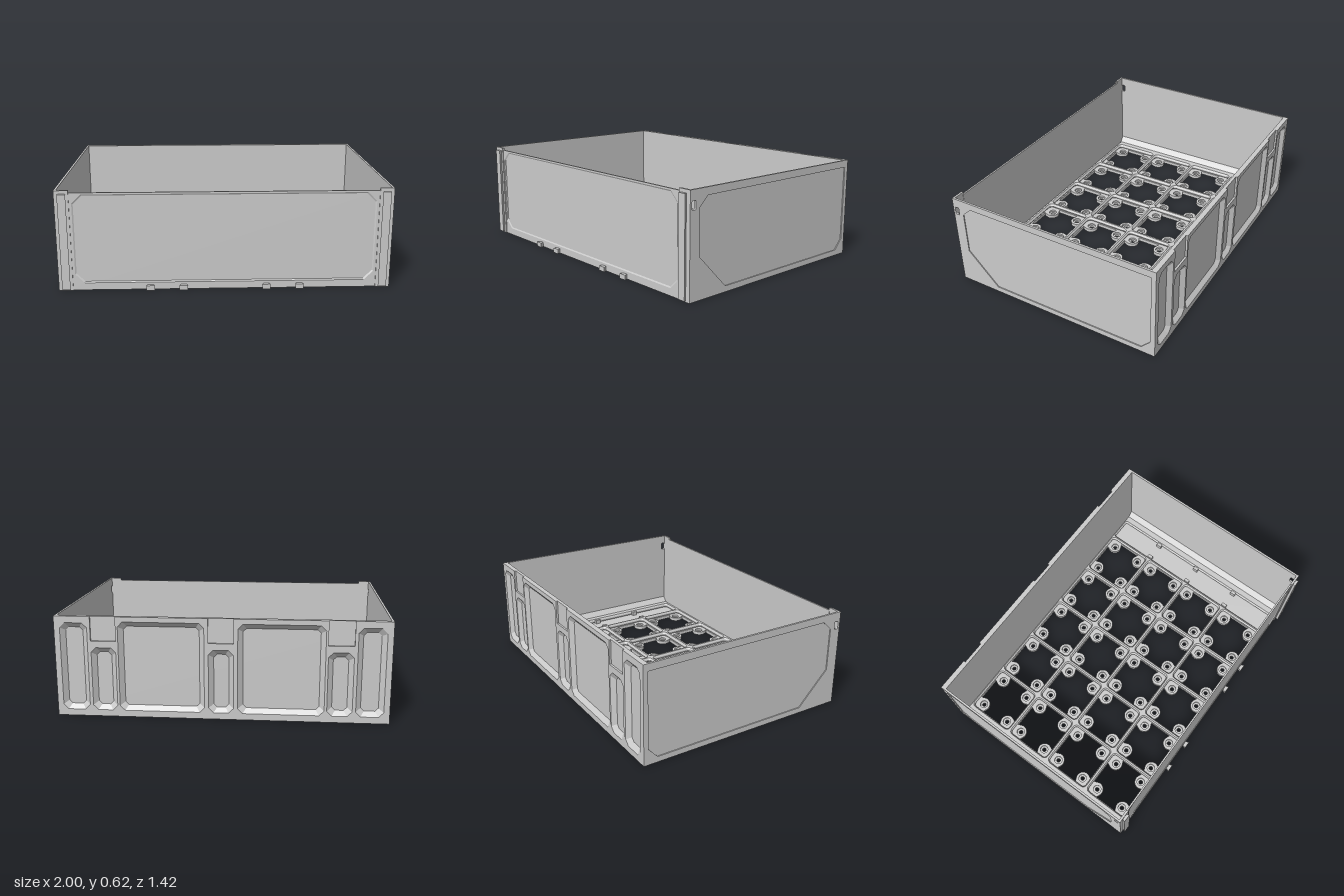
import * as THREE from 'three';

const mat = new THREE.MeshStandardMaterial({ color: 0xcccccc, flatShading: true, side: THREE.DoubleSide });
const V = (x, y) => new THREE.Vector2(x, y);

// rectangle with four individually cut corners (bl, br, tr, tl), counter-clockwise
function cutRect(x0, x1, y0, y1, bl, br = bl, tr = bl, tl = bl) {
  const p = [];
  const corner = (x, y, c, a, b) => {
    if (!c) p.push(V(x, y));
    else p.push(V(x + a[0] * c, y + a[1] * c), V(x + b[0] * c, y + b[1] * c));
  };
  corner(x0, y0, bl, [0, 1], [1, 0]);
  corner(x1, y0, br, [-1, 0], [0, 1]);
  corner(x1, y1, tr, [0, -1], [-1, 0]);
  corner(x0, y1, tl, [1, 0], [0, -1]);
  return p;
}

function roundRect(cx, cy, hx, hy, r) {
  const p = [];
  for (const [sx, sy, a0] of [[1, 1, 0], [-1, 1, 1], [-1, -1, 2], [1, -1, 3]])
    for (let i = 0; i <= 4; i++) {
      const a = (a0 + i / 4) * Math.PI / 2;
      p.push(V(cx + sx * (hx - r) + r * Math.cos(a), cy + sy * (hy - r) + r * Math.sin(a)));
    }
  return p;
}

function circle(cx, cy, r, n = 16) {
  return Array.from({ length: n }, (_, i) =>
    V(cx + r * Math.cos(i / n * 2 * Math.PI), cy + r * Math.sin(i / n * 2 * Math.PI)));
}

function slab(outline, holes, depth, extra = {}) {
  const shape = new THREE.Shape(outline);
  shape.holes = holes.map(h => new THREE.Path(h));
  return new THREE.ExtrudeGeometry(shape, { depth, bevelEnabled: false, ...extra });
}

// sloped band between two outlines of equal point count
function band(a, za, b, zb) {
  const pos = [];
  a.forEach((p, i) => {
    const j = (i + 1) % a.length;
    const A = [p.x, p.y, za], B = [a[j].x, a[j].y, za];
    const C = [b[j].x, b[j].y, zb], D = [b[i].x, b[i].y, zb];
    pos.push(...A, ...B, ...C, ...A, ...C, ...D);
  });
  const g = new THREE.BufferGeometry();
  g.setAttribute('position', new THREE.Float32BufferAttribute(pos, 3));
  g.computeVertexNormals();
  return g;
}

export function createModel() {
  const root = new THREE.Group();
  const add = (name, geo, x = 0, y = 0, z = 0) => {
    const m = new THREE.Mesh(geo, mat);
    m.name = name;
    m.position.set(x, y, z);
    root.add(m);
    return m;
  };
  const box = (name, x0, x1, y0, y1, z0, z1) =>
    add(name, new THREE.BoxGeometry(x1 - x0, y1 - y0, z1 - z0), (x0 + x1) / 2, (y0 + y1) / 2, (z0 + z1) / 2);
  // plan outlines use (x, -z); laying them flat extrudes upwards
  const flat = (name, geo, y) => { add(name, geo, 0, y, 0).rotation.x = -Math.PI / 2; };

  const H = 0.62, FRONT = 0.693, BACK = -0.71, IN = 0.987;

  // cell centres of the base grid
  const cells = [];
  for (let i = 0; i < 5; i++)
    for (let j = 0; j < 4; j++) cells.push([-0.754 + 0.335 * i, 0.512 - 0.336 * j]);

  // cross-shaped opening that leaves a round boss in each corner
  function crossHole(cx, cy) {
    const p = [];
    for (let k = 0; k < 4; k++) {
      const q = [[0.153, 0.078], [0.14, 0.072]];
      for (let i = 0; i <= 8; i++) {
        const a = (300 - 150 * i / 8) * Math.PI / 180;
        q.push([0.11 + 0.047 * Math.cos(a), 0.11 + 0.047 * Math.sin(a)]);
      }
      q.push([0.072, 0.14], [0.078, 0.153]);
      const c = [1, 0, -1, 0][k], s = [0, 1, 0, -1][k];
      q.forEach(([x, y]) => p.push(V(cx + x * c - y * s, cy + x * s + y * c)));
    }
    return p;
  }
  const crosses = cells.map(([x, y]) => crossHole(x, y));
  const bosses = r => cells.flatMap(([x, y]) =>
    [[1, 1], [1, -1], [-1, 1], [-1, -1]].map(([a, b]) => circle(x + a * 0.108, y + b * 0.105, r)));
  const floorOutline = cutRect(-0.99, 0.99, -0.685, 0.69, 0);

  // floor: screw-hole layer, then magnet-pocket layer, then the grid ribs
  flat('floorBottom', slab(floorOutline, [...crosses, ...bosses(0.013)], 0.012), 0);
  flat('floorMagnetLayer', slab(floorOutline, [...crosses, ...bosses(0.026)], 0.012), 0.012);
  flat('gridRibs', slab(cutRect(-0.975, 0.975, -0.67, 0.678, 0),
    [...cells.map(([x, y]) => roundRect(x, y, 0.162, 0.162, 0.03)), roundRect(0.835, 0.01, 0.08, 0.665, 0.02)],
    0.006, { bevelEnabled: true, bevelSize: 0.008, bevelThickness: 0.012, bevelSegments: 1 }), 0.036);

  // small tabs beside the long trough
  for (const z of [-0.345, -0.007, 0.33])
    for (const x of [0.775, 0.897]) box('troughTab', x - 0.011, x + 0.011, 0.02, 0.053, z - 0.018, z + 0.018);

  // side walls with a recessed panel and a slot near the front
  const sideOutline = cutRect(BACK, FRONT, 0, H, 0);
  const slot = roundRect(0.665, 0.535, 0.014, 0.026, 0.008);
  const sidePanel = [V(0.415, 0.035), V(0.62, 0.245), V(0.62, 0.52), V(0.56, 0.575),
    V(-0.68, 0.575), V(-0.68, 0.1), V(-0.62, 0.035)];
  for (const s of [1, -1]) {
    const wall = (name, holes, a, b) => {
      const m = add(name, slab(sideOutline, holes, b - a), Math.max(s * a, s * b), 0, 0);
      m.rotation.y = -Math.PI / 2;
    };
    wall('sideWallPlate', [slot], IN, 0.994);
    wall('sideWallFrame', [slot, sidePanel], 0.994, 1);
    // sloped foot along the inside of the wall
    add('sideWallFoot', slab([V(s * IN, 0.05), V(s * 0.95, 0.05), V(s * IN, 0.09)], [], 1.355), 0, 0, -0.68);
  }

  // front wall, corner posts and vertical dovetail rails
  const frontOutline = cutRect(-0.92, 0.92, 0, 0.605, 0);
  add('frontWallPlate', slab(frontOutline, [], 0.006), 0, 0, 0.677);
  const fp = cutRect(-0.9, 0.9, 0.045, 0.595, 0.055), fi = cutRect(-0.892, 0.892, 0.053, 0.587, 0.052);
  add('frontWallFrame', slab(frontOutline, [fp], 0.005), 0, 0, 0.683);
  add('frontPanelEdge', band(fp, 0.688, fi, 0.683));
  const dovetail = (name, x, y0, y1) => flat(name,
    slab([V(x - 0.015, -0.685), V(x - 0.025, -0.71), V(x + 0.025, -0.71), V(x + 0.015, -0.685)], [], y1 - y0), y0);
  for (const s of [1, -1]) {
    const a = s * 0.915, b = s * 0.995;
    box('frontCornerPost', Math.min(a, b), Math.max(a, b), 0, H, 0.679, FRONT);
    dovetail('frontRail', s * 0.953, 0.01, 0.6);
    for (const x of [0.25, 0.45]) dovetail('frontPeg', s * x, 0, 0.03);
  }

  // back wall: inner plate, ribbed outer frame with sloped recesses and three hook notches
  const plateZ = -0.685;
  box('backWallPlate', -0.99, 0.99, 0, H, plateZ, -0.678);
  const top = [];
  for (const c of [0.705, 0, -0.705])
    top.push(V(c + 0.076, H), V(c + 0.076, 0.47), V(c - 0.076, 0.47), V(c - 0.076, H));
  const backOutline = [V(-1, 0), V(1, 0), V(1, H), ...top, V(-1, H)];
  const recesses = [
    [0.8, 0.965, 0.04, 0.58], [-0.965, -0.8, 0.04, 0.58],
    [0.1, 0.615, 0.04, 0.59], [-0.615, -0.1, 0.04, 0.59],
    ...[0.705, 0, -0.705].map(c => [c - 0.075, c + 0.075, 0.04, 0.43]),
  ];
  const outer = recesses.map(([a, b, c, d]) => cutRect(a, b, c, d, 0.03));
  add('backWallFrame', slab(backOutline, outer, 0.002), 0, 0, BACK);
  add('backWallEdge', band(backOutline, BACK, backOutline, plateZ));
  recesses.forEach(([a, b, c, d], i) => {
    const t = 0.03;
    add('backRecessSlope', band(outer[i], BACK, cutRect(a + t, b - t, c + t, d - t, 0.02), plateZ));
  });
  for (const c of [0.705, 0, -0.705]) box('hookNotchFloor', c - 0.076, c + 0.076, 0.47, H, -0.698, plateZ);

  return root;
}
